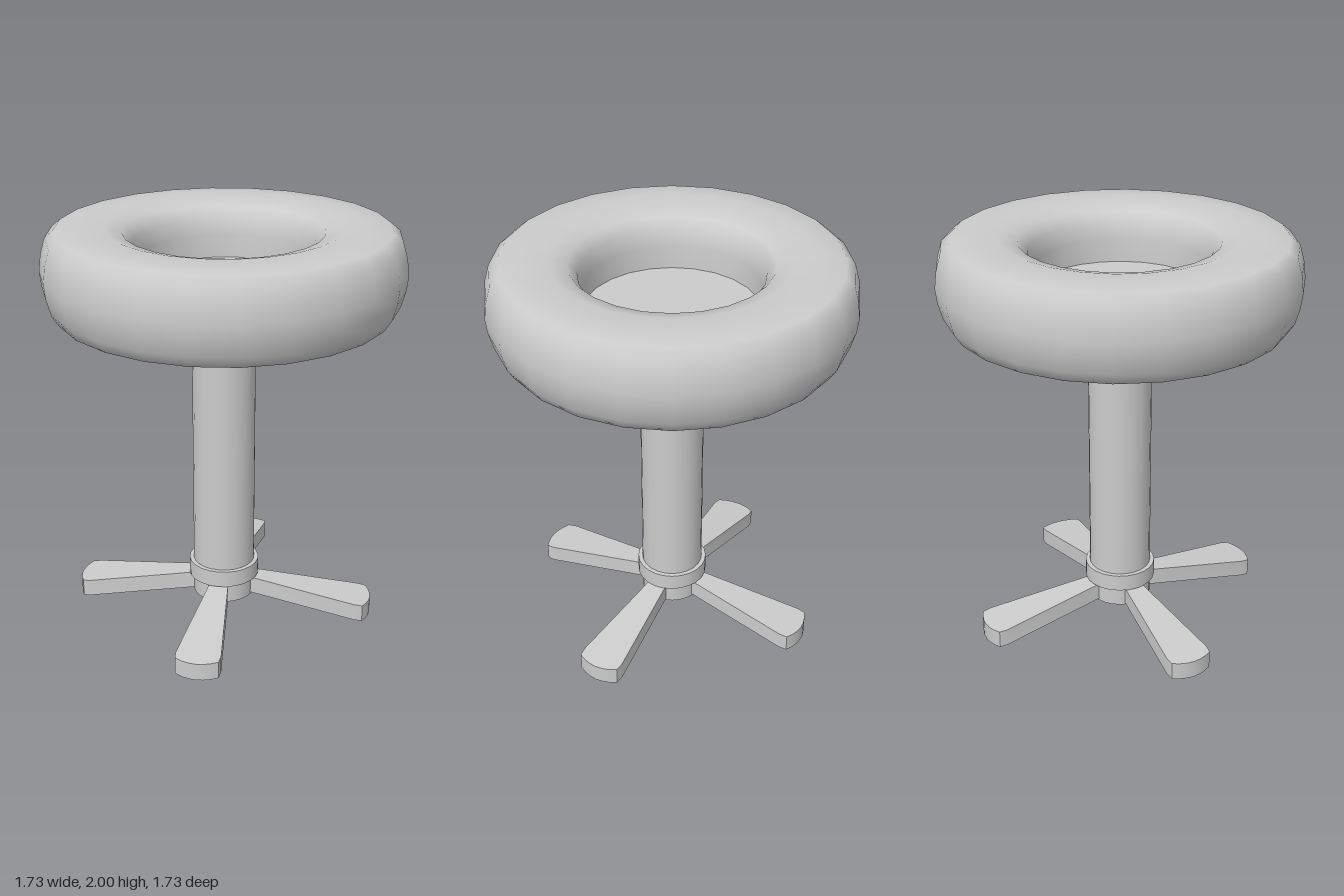
import * as THREE from 'three';
import { toCreasedNormals } from 'three/addons/utils/BufferGeometryUtils.js';

const grey = new THREE.MeshStandardMaterial({ color: 0xcccccc });

function addMesh(parent, name, geometry) {
  const mesh = new THREE.Mesh(geometry, grey);
  mesh.name = name;
  parent.add(mesh);
  return mesh;
}

function cylinder(radius, bottom, top) {
  return new THREE.CylinderGeometry(radius, radius, top - bottom, 24).translate(0, (top + bottom) / 2, 0);
}

// Paddle-shaped foot pointing along +x, widening to a rounded tip and sloping down
function footGeometry() {
  const thickness = 0.088;
  const shape = new THREE.Shape();
  shape.moveTo(0.08, -0.04);
  shape.lineTo(0.69, -0.11);
  shape.lineTo(0.73, -0.105);
  shape.quadraticCurveTo(0.79, 0, 0.73, 0.105);
  shape.lineTo(0.69, 0.11);
  shape.lineTo(0.08, 0.04);
  shape.closePath();
  const geometry = new THREE.ExtrudeGeometry(shape, { depth: thickness, bevelEnabled: false, curveSegments: 6 });
  geometry.rotateX(-Math.PI / 2);
  const p = geometry.attributes.position;
  for (let i = 0; i < p.count; i++) {
    p.setY(i, p.getY(i) + Math.max(0, 0.76 - p.getX(i)) * 0.13);
  }
  return toCreasedNormals(geometry, 0.6);
}

export function createModel() {
  const model = new THREE.Group();
  model.name = 'stool';

  // Padded ring seat with a closed underside
  const profile = [
    [0, 1.52], [0.35, 1.52], [0.57, 1.52], [0.8, 1.595], [0.835, 1.65], [0.857, 1.73],
    [0.865, 1.8], [0.855, 1.88], [0.832, 1.96], [0.79, 1.995], [0.68, 2], [0.56, 1.998],
    [0.475, 1.975], [0.432, 1.92], [0.418, 1.84], [0.415, 1.72],
  ].map(([r, y]) => new THREE.Vector2(r, y));
  const seat = new THREE.Group();
  seat.name = 'seat';
  model.add(seat);
  addMesh(seat, 'seatRing', new THREE.LatheGeometry(profile, 24));

  // Recessed floor inside the ring
  addMesh(seat, 'seatFloor', new THREE.CircleGeometry(0.418, 24).rotateX(-Math.PI / 2).translate(0, 1.73, 0));

  // Central post and the collar above the feet
  addMesh(model, 'post', cylinder(0.155, 0.07, 1.53));
  addMesh(model, 'collar', cylinder(0.177, 0.17, 0.255));

  // Four feet, one along each axis
  const foot = footGeometry();
  for (let i = 0; i < 4; i++) {
    addMesh(model, 'foot' + (i + 1), foot).rotation.y = (i * Math.PI) / 2;
  }
  return model;
}
